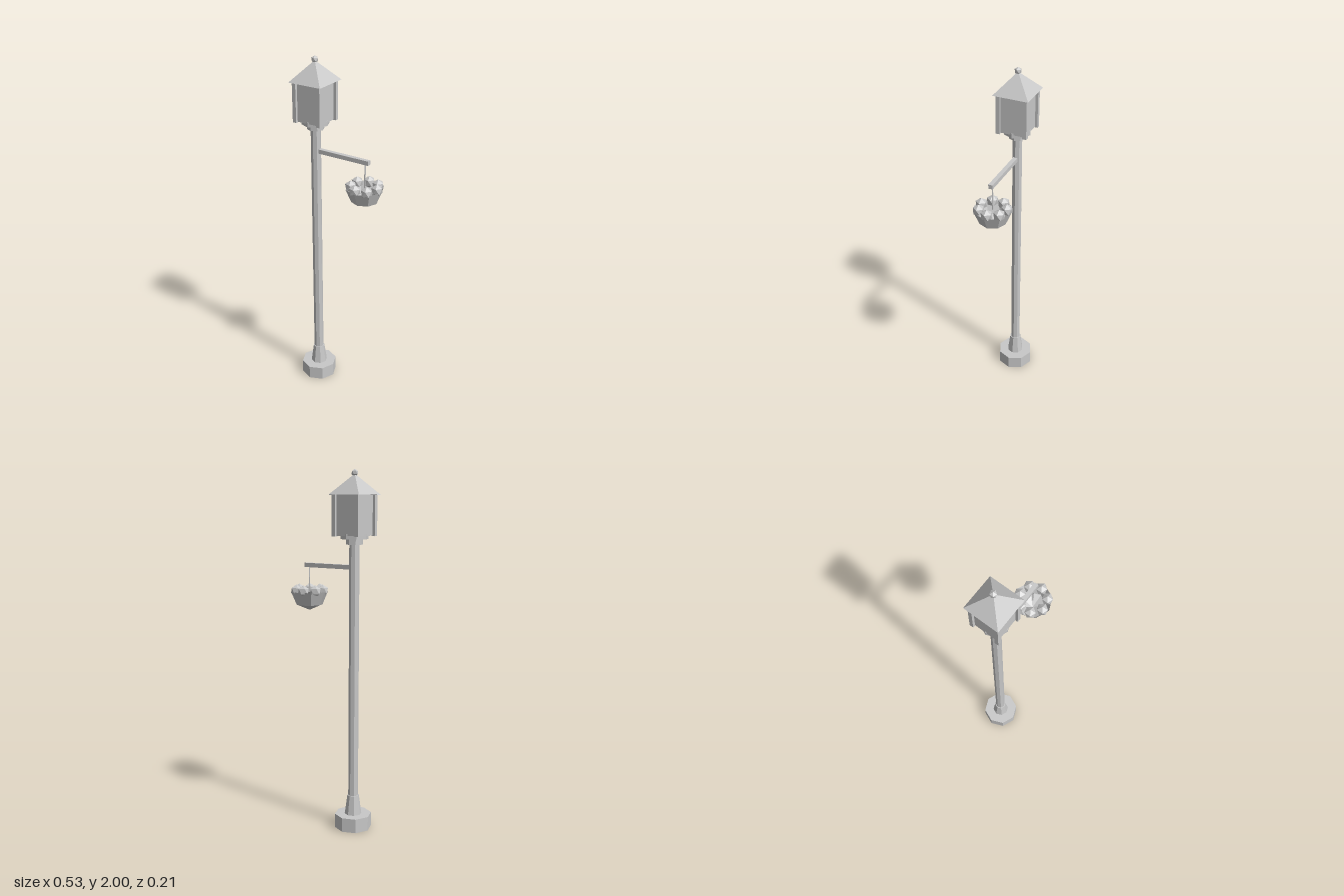
import * as THREE from 'three';

const POLE_X = -0.16, BASKET_X = 0.155;

export function createModel() {
  const model = new THREE.Group();
  const grey = new THREE.MeshStandardMaterial({ color: 0xc8c8c8, flatShading: true, side: THREE.DoubleSide });
  grey.name = 'plainGrey';

  function add(name, geometry, x, y, z = 0, parent = model) {
    const mesh = new THREE.Mesh(geometry, grey);
    mesh.name = name;
    mesh.position.set(x, y, z);
    parent.add(mesh);
    return mesh;
  }
  // Eight-sided drum between two heights, centred on the pole
  const drum = (name, rBottom, rTop, y0, y1) =>
    add(name, new THREE.CylinderGeometry(rTop, rBottom, y1 - y0, 8), POLE_X, (y0 + y1) / 2);
  // Icosahedron standing on one corner
  const ball = r => new THREE.IcosahedronGeometry(r, 0).rotateZ(-Math.atan(2 / (1 + Math.sqrt(5))));

  // Post
  drum('base', 0.104, 0.104, 0, 0.08);
  drum('taper', 0.048, 0.033, 0.08, 0.19);
  drum('pole', 0.028, 0.028, 0.19, 1.61);
  drum('collar', 0.047, 0.047, 1.603, 1.632);
  drum('lanternPlate', 0.076, 0.076, 1.632, 1.66);

  // Lantern
  add('lanternGlass', new THREE.BoxGeometry(0.145, 0.215, 0.145), POLE_X, 1.7575);
  for (const sx of [-1, 1]) for (const sz of [-1, 1])
    add('lanternPost', new THREE.BoxGeometry(0.022, 0.22, 0.022), POLE_X + sx * 0.076, 1.757, sz * 0.076);
  const roof = new THREE.ConeGeometry(0.1 * Math.SQRT2, 0.11, 4).rotateY(Math.PI / 4);
  add('lanternRoof', roof, POLE_X, 1.92);
  add('finial', ball(0.02), POLE_X, 1.98);

  // Bracket arm and hanger
  add('arm', new THREE.BoxGeometry(0.33, 0.024, 0.024), 0.015, 1.48);
  add('hanger', new THREE.CylinderGeometry(0.004, 0.004, 0.14, 6), BASKET_X, 1.4);

  // Open half-sphere basket with a ring of blossoms
  const basket = new THREE.Group();
  basket.name = 'flowerBasket';
  basket.position.set(BASKET_X, 1.33, 0);
  model.add(basket);
  add('bowl', new THREE.SphereGeometry(0.105, 8, 2, 0, Math.PI * 2, Math.PI / 2, Math.PI / 2), 0, 0, 0, basket);
  for (let i = 0; i < 7; i++) {
    const a = i / 7 * Math.PI * 2;
    add('blossom', ball(0.034), Math.cos(a) * 0.076, 0.007, Math.sin(a) * 0.076, basket);
  }
  return model;
}
